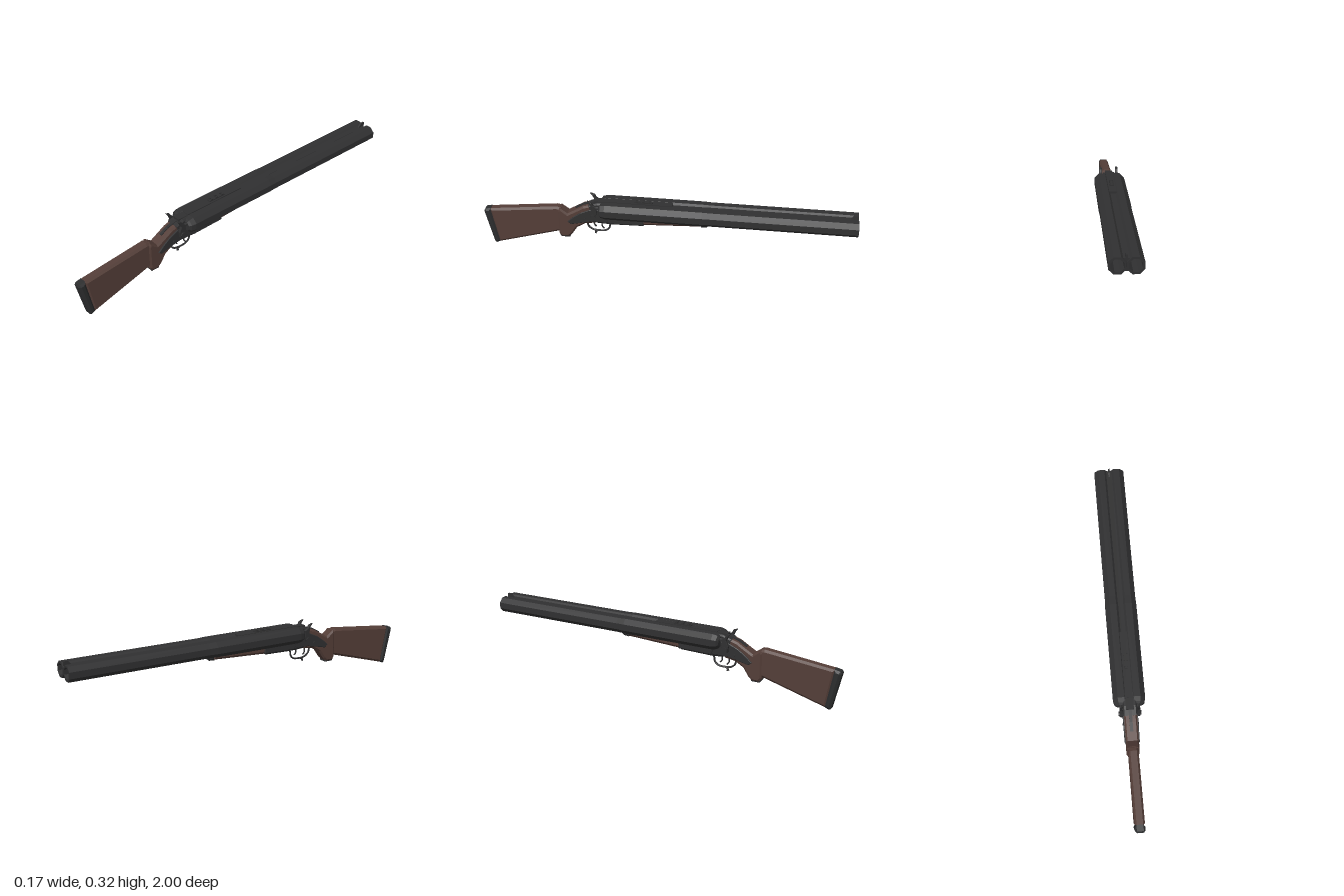
import * as THREE from 'three';

export function createModel() {
  const gun = new THREE.Group();
  gun.name = 'doubleBarrelGun';
  const mat = (name, color) => {
    const m = new THREE.MeshStandardMaterial({ color });
    m.name = name;
    return m;
  };
  const steel = mat('dark steel', 0x303031);
  const wood = mat('dark wood', 0x543e38);
  const rubber = mat('butt rubber', 0x2c2d2e);

  // faceted mesh
  const add = (name, geo, material, x = 0, y = 0, z = 0) => {
    const g = geo.index ? geo.toNonIndexed() : geo;
    g.computeVertexNormals();
    const mesh = new THREE.Mesh(g, material);
    mesh.name = name;
    mesh.position.set(x, y, z);
    gun.add(mesh);
    return mesh;
  };
  // side outline of [z, y] points, extruded across x with chamfered edges
  const slab = (name, pts, halfWidth, bevel, material, x = 0) => {
    const shape = new THREE.Shape(pts.map(p => new THREE.Vector2(p[0], p[1])));
    const t = bevel * 0.8;
    const g = new THREE.ExtrudeGeometry(shape, {
      depth: 2 * (halfWidth - t), bevelEnabled: bevel > 0, bevelThickness: t,
      bevelSize: bevel, bevelOffset: -bevel, bevelSegments: 1, curveSegments: 4,
    });
    g.translate(0, 0, -(halfWidth - t));
    g.rotateY(-Math.PI / 2);
    return add(name, g, material, x);
  };
  const box = (name, w, h, d, x, y, z, m = steel) =>
    add(name, new THREE.BoxGeometry(w, h, d), m, x, y, z);
  const tube = (name, pts, r, x = 0, n = 20) =>
    add(name, new THREE.TubeGeometry(new THREE.CatmullRomCurve3(
      pts.map(p => new THREE.Vector3(0, p[1], p[0]))), n, r, 6), steel, x);

  // stock and butt pad
  slab('stock', [[0.57, 0.112], [0.93, 0.009], [0.968, 0.217], [0.595, 0.258], [0.57, 0.252]],
    0.026, 0.012, wood);
  slab('buttPad', [[0.922, 0.012], [0.947, 0.001], [0.956, 0.006], [1.0, 0.2], [0.994, 0.212], [0.962, 0.219]],
    0.027, 0.012, rubber);

  // wrist and pistol grip
  slab('grip', [[0.38, 0.18], [0.44, 0.17], [0.485, 0.143], [0.515, 0.098], [0.535, 0.08], [0.573, 0.08],
    [0.587, 0.1], [0.587, 0.235], [0.577, 0.255], [0.535, 0.224], [0.49, 0.25], [0.45, 0.274], [0.4, 0.29], [0.38, 0.29]],
    0.033, 0.01, wood);
  slab('gripCap', [[0.53, 0.088], [0.528, 0.076], [0.575, 0.076], [0.582, 0.09]], 0.027, 0.004, steel);

  // receiver, top tang and lower frame
  slab('receiver', [[0.13, 0.182], [0.3, 0.178], [0.37, 0.182], [0.41, 0.2], [0.418, 0.285], [0.37, 0.302],
    [0.3, 0.306], [0.13, 0.25]], 0.036, 0.008, steel);
  slab('frameUnderside', [[0.12, 0.188], [0.31, 0.184], [0.33, 0.23], [0.12, 0.232]], 0.042, 0.006, steel);
  box('topBlock', 0.04, 0.03, 0.09, 0, 0.292, 0.345);
  slab('topTang', [[0.38, 0.285], [0.45, 0.268], [0.49, 0.247], [0.494, 0.254], [0.45, 0.28], [0.38, 0.3]],
    0.008, 0, steel);

  // fore-end
  slab('foreEnd', [[0.13, 0.187], [-0.19, 0.203], [-0.19, 0.237], [0.13, 0.237]], 0.036, 0.012, wood);
  slab('foreEndTip', [[-0.185, 0.2], [-0.215, 0.202], [-0.232, 0.215], [-0.232, 0.235], [-0.185, 0.237]],
    0.037, 0.01, steel);

  // eight-sided barrels with open bores
  const k = 1 / Math.cos(Math.PI / 8);
  const profile = [[0, -0.36], [0.025, -0.36], [0.036, -0.35], [0.042, -0.325], [0.042, 0.19], [0.04, 0.235],
    [0.04, 1], [0.03, 1], [0.029, 0.7], [0, 0.7]];
  for (const s of [-1, 1]) {
    const g = new THREE.LatheGeometry(profile.map(p => new THREE.Vector2(p[0] * k, p[1])), 8, Math.PI / 8);
    g.rotateX(-Math.PI / 2);
    add('barrel', g, steel, s * 0.041, 0.266, 0);
  }

  // ribs and sights
  box('topRib', 0.03, 0.02, 1.3, 0, 0.288, -0.34);
  box('bottomRib', 0.026, 0.012, 0.78, 0, 0.245, -0.6);
  box('rearRib', 0.04, 0.026, 0.36, 0, 0.296, 0.15);
  box('rearSightLeaf', 0.022, 0.006, 0.1, 0, 0.311, 0.125);
  for (const s of [-1, 1])
    for (const z of [0.09, 0.125, 0.16]) box('rearSightEar', 0.007, 0.01, 0.012, s * 0.0075, 0.315, z);
  slab('frontSight', [[-0.955, 0.295], [-0.998, 0.295], [-0.998, 0.318], [-0.975, 0.319]], 0.005, 0, steel);

  // side locks and hammers
  for (const s of [-1, 1]) {
    slab('lockPlate', [[0.29, 0.19], [0.4, 0.19], [0.45, 0.18], [0.515, 0.165], [0.535, 0.18], [0.5, 0.212],
      [0.46, 0.24], [0.41, 0.262], [0.34, 0.27], [0.29, 0.24]], 0.005, 0.003, steel, s * 0.034);
    slab('hammer', [[0.405, 0.218], [0.38, 0.222], [0.37, 0.25], [0.372, 0.285], [0.388, 0.297], [0.397, 0.313],
      [0.42, 0.321], [0.406, 0.302], [0.396, 0.28], [0.408, 0.25]], 0.0075, 0.002, steel, s * 0.045);
    const pivot = new THREE.CylinderGeometry(0.013, 0.013, 0.022, 8);
    pivot.rotateZ(Math.PI / 2);
    add('hammerPivot', pivot, steel, s * 0.048, 0.232, 0.39);
    const nipple = new THREE.CylinderGeometry(0.008, 0.01, 0.03, 6);
    nipple.rotateX(Math.PI / 2);
    add('firingNipple', nipple, steel, s * 0.045, 0.28, 0.362);
    const screw = new THREE.CylinderGeometry(0.006, 0.006, 0.006, 6);
    screw.rotateZ(Math.PI / 2);
    add('lockScrew', screw, steel, s * 0.04, 0.205, 0.44);
  }

  // trigger guard with finger curl, and two triggers
  tube('triggerGuard', [[0.29, 0.182], [0.308, 0.165], [0.312, 0.14], [0.33, 0.122], [0.365, 0.117],
    [0.405, 0.122], [0.428, 0.142], [0.435, 0.172]], 0.005);
  tube('guardCurl', [[0.37, 0.118], [0.385, 0.112], [0.392, 0.103], [0.383, 0.1]], 0.005, 0, 8);
  tube('frontTrigger', [[0.345, 0.185], [0.352, 0.165], [0.35, 0.148], [0.34, 0.136]], 0.004, 0.008, 8);
  tube('rearTrigger', [[0.39, 0.185], [0.398, 0.165], [0.396, 0.148], [0.386, 0.136]], 0.004, -0.008, 8);

  return gun;
}
